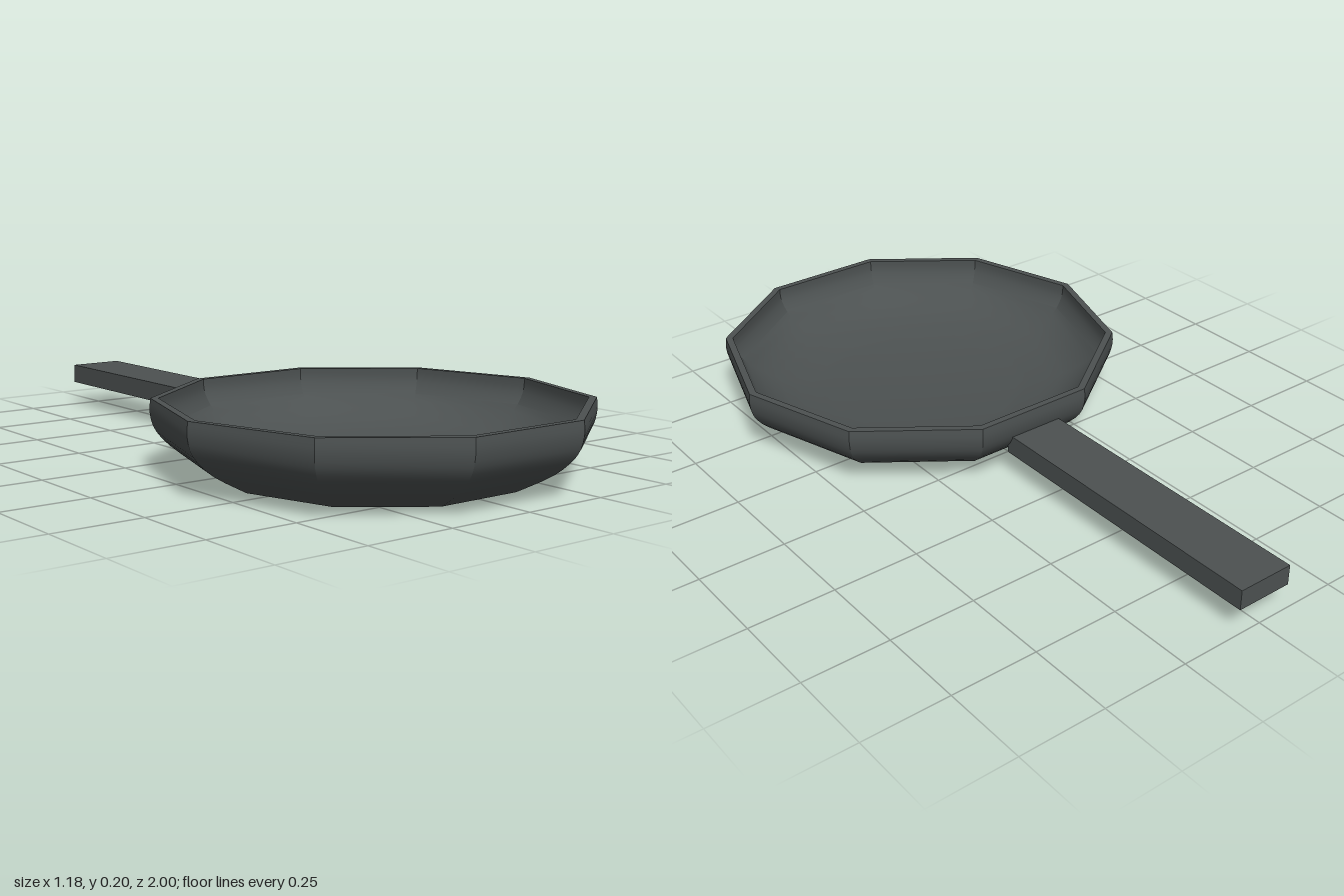
import * as THREE from 'three';
import { toCreasedNormals } from 'three/addons/utils/BufferGeometryUtils.js';

const SIDES = 10;
const PAN_Z = 0.439;

// Smooth wall section through a few [radius, height] points
function wall(points) {
  return new THREE.SplineCurve(points.map(([r, y]) => new THREE.Vector2(r, y))).getPoints(12);
}

export function createModel() {
  const group = new THREE.Group();
  const castIron = new THREE.MeshStandardMaterial({ color: 0x4c5151 });
  castIron.name = 'cast iron';

  // Ten-sided pan: underside, outer wall, flat rim, inner wall, cooking surface
  const profile = [
    new THREE.Vector2(0, 0),
    ...wall([[0.415, 0], [0.515, 0.055], [0.573, 0.11], [0.59, 0.16], [0.588, 0.2]]),
    ...wall([[0.567, 0.2], [0.562, 0.16], [0.525, 0.11], [0.44, 0.06], [0.3, 0.03]]),
    new THREE.Vector2(0, 0.03),
  ];
  const panGeometry = new THREE.LatheGeometry(profile, SIDES, Math.PI / 2);
  const pan = new THREE.Mesh(toCreasedNormals(panGeometry, 0.48), castIron);
  pan.name = 'pan';
  pan.position.z = PAN_Z;
  group.add(pan);

  // Straight flat handle, set slightly off the centre line
  const handle = new THREE.Mesh(new THREE.BoxGeometry(0.166, 0.058, 0.905), castIron);
  handle.name = 'handle';
  handle.position.set(-0.008, 0.104, -0.5475);
  group.add(handle);

  return group;
}
